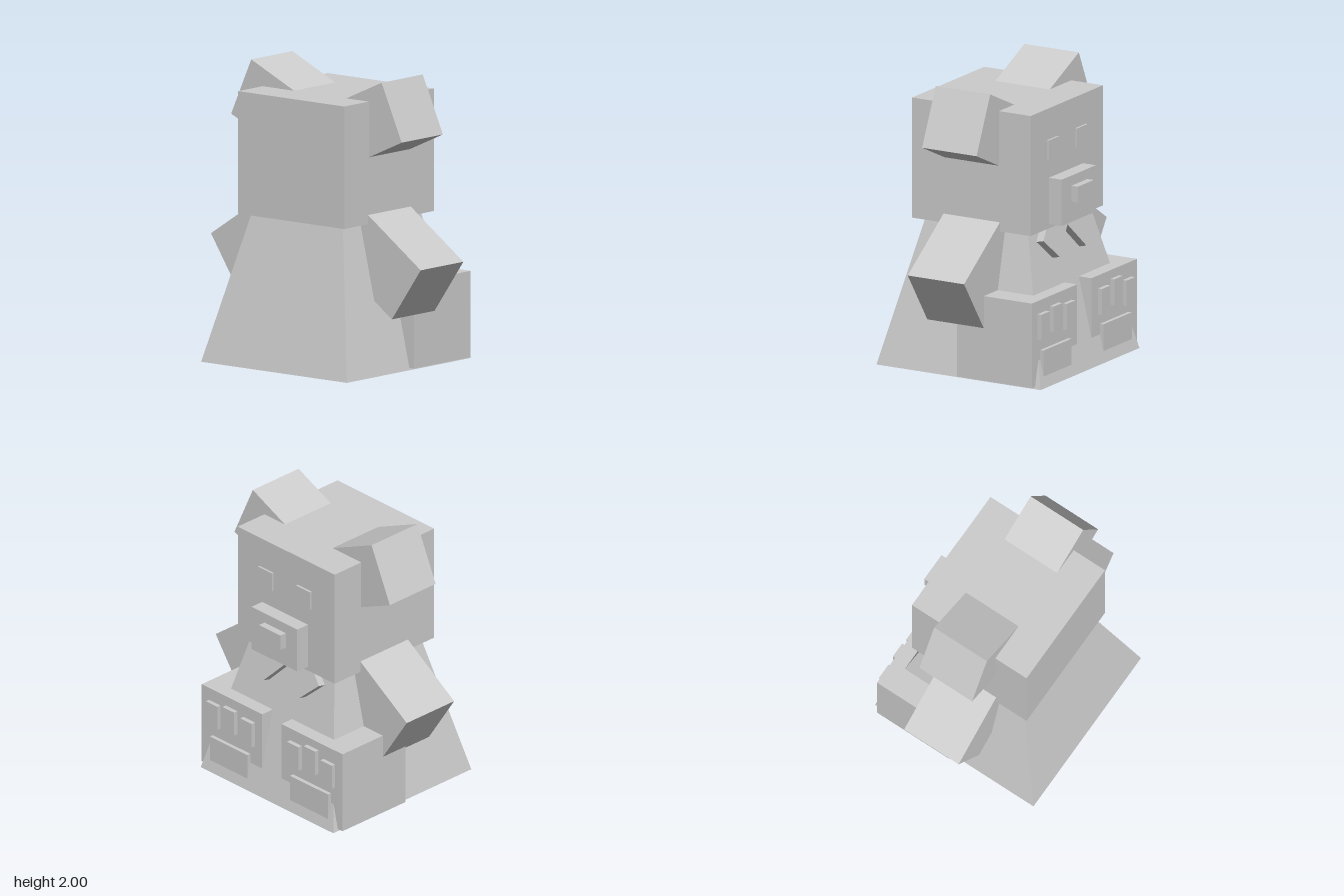
import * as THREE from 'three';

const material = new THREE.MeshStandardMaterial({ color: 0xcccccc, flatShading: true });

// Box from its extents on each axis
function span(name, [x0, x1], [y0, y1], [z0, z1]) {
  const mesh = new THREE.Mesh(new THREE.BoxGeometry(x1 - x0, y1 - y0, z1 - z0), material);
  mesh.position.set((x0 + x1) / 2, (y0 + y1) / 2, (z0 + z1) / 2);
  mesh.name = name;
  return mesh;
}

// Box tilted about the x axis
function tilted(name, size, position, degrees) {
  const mesh = new THREE.Mesh(new THREE.BoxGeometry(...size), material);
  mesh.position.set(...position);
  mesh.rotation.x = THREE.MathUtils.degToRad(degrees);
  mesh.name = name;
  return mesh;
}

export function createModel() {
  const model = new THREE.Group();
  model.name = 'blockBear';

  // Tapered body
  const body = span('body', [-0.64, 0.64], [0, 1], [-0.645, 0.63]);
  const p = body.geometry.attributes.position;
  for (let i = 0; i < p.count; i++) {
    if (p.getY(i) > 0) p.setXYZ(i, p.getX(i) * 0.625, p.getY(i), p.getZ(i) * 0.627);
  }
  body.geometry.computeVertexNormals();
  model.add(body);

  // Head and face, looking along +x
  model.add(
    span('head', [-0.465, 0.46], [1, 1.83], [-0.47, 0.46]),
    span('snout', [0.44, 0.56], [1.03, 1.35], [-0.215, 0.225]),
    span('nose', [0.54, 0.61], [1.17, 1.28], [-0.105, 0.1]),
    span('leftEye', [0.44, 0.475], [1.48, 1.615], [-0.25, -0.115]),
    span('rightEye', [0.44, 0.475], [1.48, 1.615], [0.115, 0.25]),
  );

  // Ears and arms, slightly uneven from side to side
  model.add(
    tilted('rightEar', [0.425, 0.425, 0.42], [0, 1.69, 0.469], -24.5),
    tilted('leftEar', [0.425, 0.425, 0.42], [0, 1.72, -0.466], 24.4),
    tilted('rightArm', [0.44, 0.44, 0.7], [0, 0.76, 0.508], 35),
    tilted('leftArm', [0.44, 0.44, 0.7], [0, 0.794, -0.502], -33.4),
  );

  // Feet with three toes and a sole pad each: [y0, y1, z0, z1]
  const feet = [
    {
      side: 'right', z: [0.085, 0.667], pad: [0.04, 0.255, 0.2, 0.56],
      toes: [[0.335, 0.51, 0.485, 0.595], [0.355, 0.53, 0.325, 0.435], [0.33, 0.51, 0.155, 0.265]],
    },
    {
      side: 'left', z: [-0.687, -0.1], pad: [0.04, 0.26, -0.575, -0.21],
      toes: [[0.33, 0.51, -0.295, -0.185], [0.36, 0.54, -0.455, -0.345], [0.32, 0.495, -0.615, -0.505]],
    },
  ];
  for (const { side, z, pad, toes } of feet) {
    const foot = new THREE.Group();
    foot.name = side + 'Foot';
    foot.add(span('footBlock', [0.01, 0.595], [0.015, 0.6], z));
    foot.add(span('solePad', [0.56, 0.622], [pad[0], pad[1]], [pad[2], pad[3]]));
    for (const t of toes) foot.add(span('toe', [0.56, 0.625], [t[0], t[1]], [t[2], t[3]]));
    model.add(foot);
  }

  // Collar flaps leaning with the chest
  for (const [name, z, turn] of [['rightCollar', 0.138, -43], ['leftCollar', -0.155, 43]]) {
    const flap = new THREE.Group();
    flap.name = name;
    flap.position.set(0.437, 0.965, z);
    flap.rotation.z = THREE.MathUtils.degToRad(13.5);
    flap.add(tilted('flap', [0.057, 0.3, 0.21], [0, 0, 0], turn));
    model.add(flap);
  }

  return model;
}
